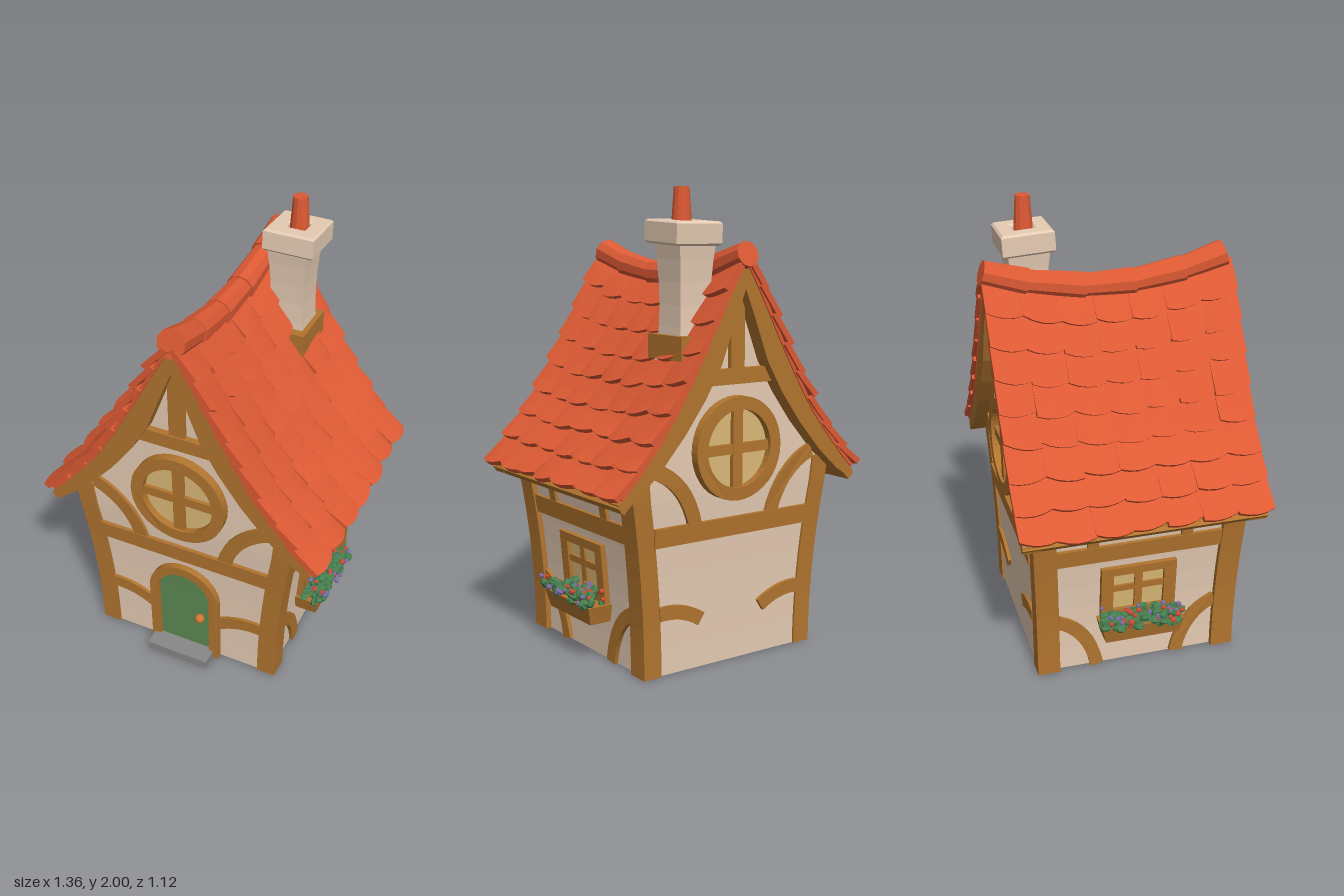
import * as THREE from 'three';

const mat = (name, color) => new THREE.MeshStandardMaterial({ name, color, flatShading: true });
const M = {
  plaster: mat('plaster', 0xe6ccb4), wood: mat('wood', 0xb2752f), tile: mat('roof tile', 0xdd5a34),
  door: mat('door green', 0x5e8a55), stone: mat('stone', 0x888888), glass: mat('window pane', 0xdcba78),
  knob: mat('knob', 0xcf782e), leaf: mat('leaves', 0x477f50), red: mat('red blossom', 0xcc4c32),
  violet: mat('violet blossom', 0x7c6ca8),
};
let seed = 7;
const rnd = (a = -1, b = 1) => {
  seed = (seed * 16807) % 2147483647;
  return a + (b - a) * seed / 2147483647;
};
const V2 = (x, y) => new THREE.Vector2(x, y);
function add(parent, name, geo, material, x = 0, y = 0, z = 0) {
  const m = new THREE.Mesh(geo, material);
  m.name = name;
  m.position.set(x, y, z);
  parent.add(m);
  return m;
}
function warp(geo, fn) {
  const p = geo.attributes.position, v = new THREE.Vector3();
  for (let i = 0; i < p.count; i++) {
    v.fromBufferAttribute(p, i);
    fn(v);
    p.setXYZ(i, v.x, v.y, v.z);
  }
  geo.computeVertexNormals();
  return geo;
}

// Walls flare outward toward the eaves
const flare = y => Math.min(Math.max(y, 0) / 0.8, 1) ** 2;
const flareBoth = v => {
  v.x += Math.sign(v.x) * 0.075 * flare(v.y);
  v.z += Math.sign(v.z) * 0.025 * flare(v.y);
};

// Roof profile from ridge to eave, with a ridge that sags in the middle
const slope = [[0, 1.7], [0.06, 1.6], [0.12, 1.49], [0.19, 1.36], [0.27, 1.22], [0.36, 1.075], [0.45, 0.96], [0.54, 0.855], [0.617, 0.775]];
const roofCurve = new THREE.SplineCurve(slope.map(p => V2(...p)));
const roofLen = roofCurve.getLength();
const sag = z => 0.1 * Math.max(0, 1 - (z / 0.54) ** 2);
function roofPoint(side, s, z, h, out) {
  const c = Math.min(Math.max(s, 0), 1);
  const p = roofCurve.getPointAt(c), t = roofCurve.getTangentAt(c);
  p.addScaledVector(t, (s - c) * roofLen);
  return out.set(side * (p.x - t.y * h), p.y + t.x * h - sag(z) * (1 - c), z);
}

function frameShape(outer, hole) {
  outer.holes.push(hole);
  return outer;
}
const rect = (w, y0, y1, x = 0) => new THREE.Shape([V2(x - w / 2, y0), V2(x + w / 2, y0), V2(x + w / 2, y1), V2(x - w / 2, y1)]);
const circle = (y, r) => new THREE.Shape().absarc(0, y, r, 0, Math.PI * 2);
function arch(r, y0, top) {
  const s = new THREE.Shape();
  s.moveTo(-r, y0);
  s.lineTo(r, y0);
  s.lineTo(r, top - r);
  s.absarc(0, top - r, r, 0, Math.PI);
  s.closePath();
  return s;
}
// Curved timber of constant width along a bend
function bend(a, b, c, w) {
  const q = new THREE.QuadraticBezierCurve(V2(...a), V2(...b), V2(...c)), l = [], r = [];
  for (let i = 0; i <= 8; i++) {
    const p = q.getPoint(i / 8), t = q.getTangent(i / 8), n = V2(-t.y, t.x).multiplyScalar(w / 2);
    l.push(p.clone().add(n));
    r.unshift(p.clone().sub(n));
  }
  return new THREE.Shape([...l, ...r]);
}

function makeFace(parent, name, angle, dist, lean) {
  const g = new THREE.Group();
  g.name = name;
  g.rotation.y = angle;
  parent.add(g);
  g.plate = (label, shape, depth, material, from = -0.01) => {
    const geo = new THREE.ExtrudeGeometry(shape, { depth: depth - from, bevelEnabled: false, curveSegments: 20 });
    return add(g, label, warp(geo, v => { v.z += from + dist + lean * flare(v.y); }), material);
  };
  return g;
}

function gableFace(parent, name, angle) {
  const f = makeFace(parent, name, angle, 0.445, 0.025);
  f.plate('gableWall', new THREE.Shape([[-0.49, 0.8], [0.49, 0.8], [0.49, 0.86], [0.38, 0.98], [0.27, 1.15], [0.15, 1.36], [0, 1.62],
    [-0.15, 1.36], [-0.27, 1.15], [-0.38, 0.98], [-0.49, 0.86]].map(p => V2(...p))), 0, M.plaster, -0.06);
  f.plate('crossBeam', rect(0.81, 0.555, 0.635), 0.018, M.wood);
  f.plate('collarBeam', rect(0.42, 1.2, 1.265), 0.03, M.wood);
  f.plate('kingPost', rect(0.07, 1.25, 1.62), 0.022, M.wood);
  f.plate('roundWindowFrame', frameShape(circle(0.93, 0.22), circle(0.93, 0.165)), 0.04, M.wood);
  f.plate('roundWindowPane', circle(0.93, 0.175), 0.008, M.glass, 0);
  f.plate('roundWindowUpright', rect(0.05, 0.76, 1.1), 0.028, M.wood);
  f.plate('roundWindowCrossbar', rect(0.34, 0.907, 0.95), 0.024, M.wood);
  for (const s of [-1, 1]) {
    f.plate('upperBrace', bend([s * 0.42, 0.88], [s * 0.25, 0.82], [s * 0.2, 0.62], 0.065), 0.015, M.wood);
    f.plate('lowerBrace', bend([s * 0.372, 0.27], [s * 0.26, 0.28], [s * 0.16, 0.215], 0.06), 0.015, M.wood);
  }
  return f;
}

function sideFace(parent, name, angle) {
  const f = makeFace(parent, name, angle, 0.42, 0.075);
  f.plate('crossBeam', rect(0.75, 0.56, 0.64), 0.018, M.wood);
  f.plate('topBeam', rect(0.75, 0.76, 0.83), 0.018, M.wood);
  for (const s of [-1, 1]) {
    f.plate('stud', rect(0.05, 0.63, 0.77, s * 0.21), 0.015, M.wood);
    f.plate('lowerBrace', bend([s * 0.362, 0.26], [s * 0.22, 0.2], [s * 0.185, 0.004], 0.06), 0.018, M.wood);
  }
  // Window
  f.plate('windowFrame', frameShape(rect(0.34, 0.23, 0.515), rect(0.23, 0.29, 0.475)), 0.024, M.wood);
  f.plate('windowPane', rect(0.24, 0.28, 0.48), 0.006, M.glass, 0);
  f.plate('windowUpright', rect(0.035, 0.28, 0.48), 0.018, M.wood);
  f.plate('windowCrossbar', rect(0.24, 0.385, 0.415), 0.018, M.wood);
  // Planter, narrower at its foot
  const box = warp(new THREE.BoxGeometry(0.37, 0.08, 0.12), v => { if (v.y < 0) { v.x *= 0.9; if (v.z > 0) v.z -= 0.02; } });
  add(f, 'flowerBox', box, M.wood, 0, 0.215, 0.485);
  for (let i = 0; i < 75; i++) {
    const b = add(f, 'leaves', new THREE.IcosahedronGeometry(rnd(0.02, 0.03), 0), M.leaf, rnd() * 0.178, rnd(0.25, 0.3), rnd(0.455, 0.56));
    b.rotation.set(rnd() * 3, rnd() * 3, 0);
    b.scale.y = 0.6;
  }
  for (let i = 0; i < 44; i++) {
    add(f, 'blossom', new THREE.IcosahedronGeometry(rnd(0.01, 0.015), 0), i % 2 ? M.red : M.violet,
      rnd() * 0.18, rnd(0.265, 0.32), rnd(0.46, 0.578));
  }
  return f;
}

// Slab lying on one roof slope; s runs down, h is height above the slope
function roofPiece(side, s0, s1, z0, w, segs, height, bulge = 0, skew = 0) {
  return warp(new THREE.BoxGeometry(1, 1, 1, ...segs), v => {
    const t = v.z + 0.5, arc = 1 - 4 * v.x * v.x;
    roofPoint(side, s0 + (s1 - s0 + bulge * arc + skew * v.x) * t, z0 - side * v.x * w, height(t, v.y + 0.5, arc, v.x), v);
  });
}

function makeRoof() {
  const roof = new THREE.Group();
  roof.name = 'roof';
  const rows = 8, cols = 7, w = 1.09 / cols;
  for (const side of [-1, 1]) {
    add(roof, 'roofBoards', roofPiece(side, 0, 0.99, 0, 1.06, [10, 1, 16], (t, y) => -0.03 + 0.03 * y), M.wood);
    add(roof, 'tileBed', roofPiece(side, 0, 0.98, 0, 1.07, [10, 1, 16], (t, y) => 0.001 + 0.015 * y), M.tile);
    for (let r = 0; r < rows; r++) for (let c = 0; c < cols; c++) {
      const lift = rnd(0.016, 0.028), tilt = rnd() * 0.012;
      add(roof, 'roofTile', roofPiece(side, Math.max(0, r / rows - 0.02), (r + 1) / rows + rnd() * 0.007, (c + 0.5) * w - 0.545,
        w * 1.02, [4, 1, 3], (t, y, arc, x) => 0.004 + (lift + tilt * x) * t + 0.026 * y + 0.008 * arc * t, 0.016, rnd() * 0.022), M.tile);
    }
    const eave = add(roof, 'eaveBoard', new THREE.BoxGeometry(0.06, 0.04, 1.06), M.wood, side * 0.587, 0.771, 0);
    eave.rotation.z = -side * 0.8;
  }
  // Ridge caps follow the sag
  const cuts = [0.515, 0.33, 0.11, -0.11, -0.36, -0.535];
  for (let i = 0; i < 5; i++) {
    const a = new THREE.Vector3(0, 1.732 - sag(cuts[i]), cuts[i]), b = new THREE.Vector3(0, 1.732 - sag(cuts[i + 1]), cuts[i + 1]);
    const d = a.clone().sub(b);
    const cap = add(roof, 'ridgeCap', new THREE.CylinderGeometry(0.063, 0.054, d.length() + 0.012, 10), M.tile);
    cap.position.copy(a).add(b).multiplyScalar(0.5);
    cap.quaternion.setFromUnitVectors(new THREE.Vector3(0, 1, 0), d.normalize());
  }
  // Gable boards under both roof ends
  const inner = [[0.605, 0.74], [0.52, 0.795], [0.42, 0.885], [0.3, 1.02], [0.2, 1.155], [0.12, 1.29], [0.05, 1.47], [0, 1.59]];
  const half = [...slope, ...inner];
  for (const side of [-1, 1]) for (const z of [0.45, -0.53]) {
    const geo = new THREE.ExtrudeGeometry(new THREE.Shape(half.map(([x, y]) => V2(side * x, y))), { depth: 0.08, bevelEnabled: false });
    add(roof, 'gableBoard', geo, M.wood, 0, 0, z);
  }
  return roof;
}

function makeChimney() {
  const g = new THREE.Group();
  g.name = 'chimney';
  g.position.set(0.16, 0, -0.322);
  const stack = warp(new THREE.BoxGeometry(0.15, 0.55, 0.15, 1, 6, 1), v => {
    const k = 1 + 0.25 * (v.y / 0.275) ** 2;
    v.x *= k;
    v.z *= k;
  });
  add(g, 'chimneyStack', stack, M.plaster, -0.005, 1.525, 0);
  add(g, 'chimneyFoot', new THREE.BoxGeometry(0.18, 0.1, 0.24), M.wood, 0.008, 1.352, 0);
  const cap = new THREE.ExtrudeGeometry(frameShape(rect(0.21, -0.105, 0.105), rect(0.1, -0.05, 0.05)),
    { depth: 0.08, bevelEnabled: true, bevelSize: 0.009, bevelThickness: 0.009, bevelSegments: 1 }).rotateX(-Math.PI / 2);
  add(g, 'chimneyCap', cap, M.plaster, 0.005, 1.778, 0).rotation.x = -0.06;
  add(g, 'chimneyPot', new THREE.CylinderGeometry(0.032, 0.046, 0.2, 12), M.tile, 0.012, 1.9, 0);
  return g;
}

export function createModel() {
  const model = new THREE.Group();
  model.name = 'cottage';
  const house = new THREE.Group();
  house.name = 'house';
  house.position.z = 0.01;
  model.add(house, makeRoof(), makeChimney());

  add(house, 'walls', warp(new THREE.BoxGeometry(0.84, 0.85, 0.89, 1, 8, 1).translate(0, 0.426, 0), flareBoth), M.plaster);
  for (const x of [-1, 1]) for (const z of [-1, 1]) {
    const post = new THREE.BoxGeometry(0.085, 0.85, 0.1, 1, 8, 1).translate(x * 0.4025, 0.425, z * 0.405);
    add(house, 'cornerPost', warp(post, flareBoth), M.wood);
  }
  const front = gableFace(house, 'frontFace', 0);
  gableFace(house, 'backFace', Math.PI);
  sideFace(house, 'leftFace', Math.PI / 2);
  sideFace(house, 'rightFace', -Math.PI / 2);

  // Arched door, knob and step
  front.plate('doorFrame', frameShape(arch(0.17, 0, 0.515), arch(0.125, 0.001, 0.47)), 0.03, M.wood);
  front.plate('door', arch(0.13, 0, 0.475), 0.014, M.door);
  add(front, 'doorKnob', new THREE.SphereGeometry(0.023, 10, 8), M.knob, 0.08, 0.23, 0.475);
  add(front, 'doorStep', new THREE.BoxGeometry(0.3, 0.04, 0.12), M.stone, -0.005, 0.02, 0.49);
  return model;
}
